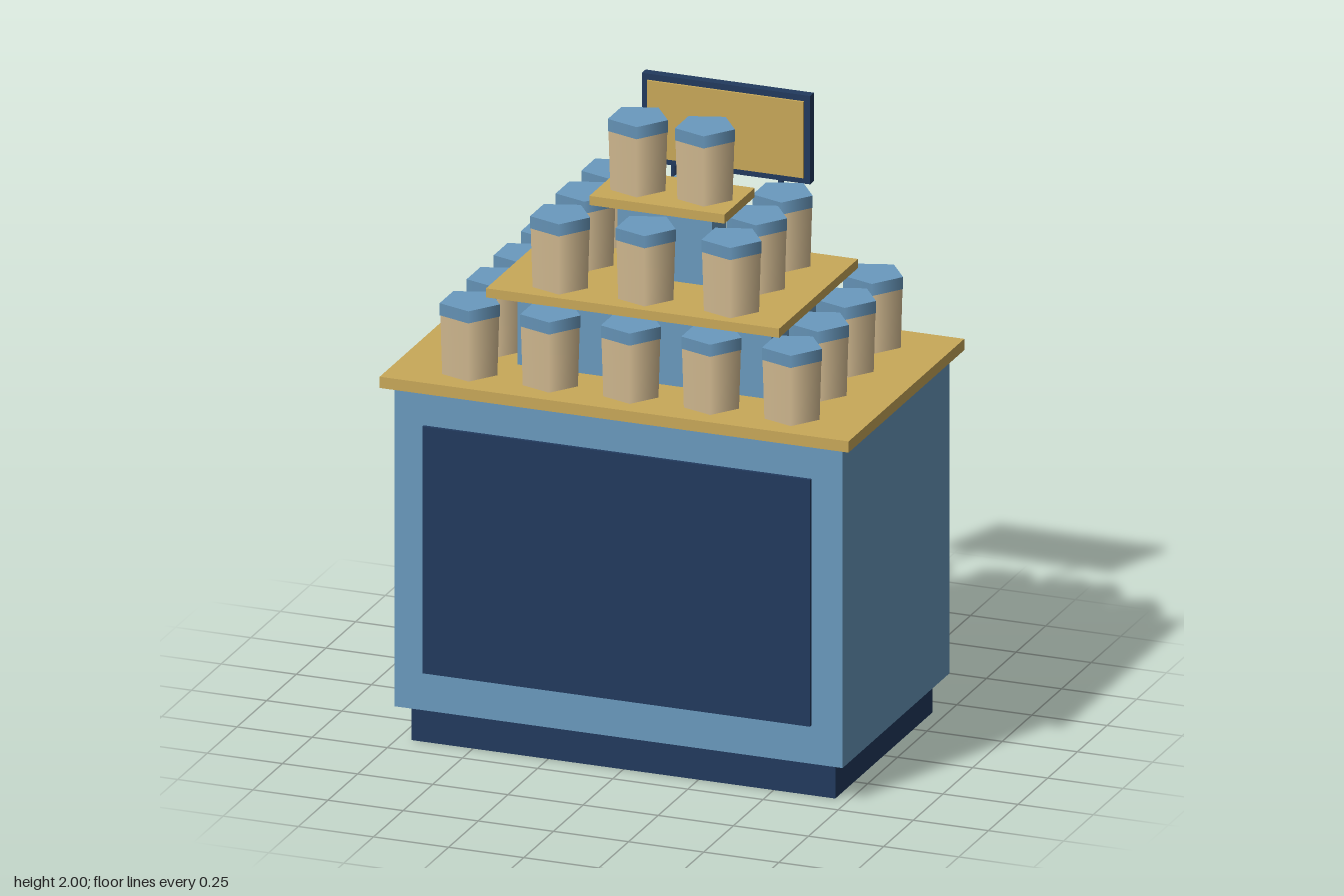
import * as THREE from 'three';

const material = (name, color) => {
  const m = new THREE.MeshStandardMaterial({ color });
  m.name = name;
  return m;
};

export function createModel() {
  const blue = material('blue paint', 0x6a9abf);
  const navy = material('navy paint', 0x223a5e);
  const gold = material('golden wood', 0xc9a959);
  const cream = material('cream jar', 0xdcc398);

  const model = new THREE.Group();
  model.name = 'displayStand';

  const add = (name, geometry, mat, x, y, z, parent = model) => {
    const mesh = new THREE.Mesh(geometry, mat);
    mesh.name = name;
    mesh.position.set(x, y, z);
    parent.add(mesh);
    return mesh;
  };
  // Box centred on x, spanning y0 to y1
  const box = (name, mat, w, d, y0, y1, z = 0) =>
    add(name, new THREE.BoxGeometry(w, y1 - y0, d), mat, 0, (y0 + y1) / 2, z);

  // Counter
  box('plinth', navy, 1.41, 0.82, 0, 0.12);
  box('cabinet', blue, 1.49, 0.9, 0.12, 1.18);
  box('frontPanel', navy, 1.29, 0.012, 0.25, 1.065, 0.465);
  box('counterTop', gold, 1.56, 0.976, 1.18, 1.217);

  // Stepped risers and shelves
  box('lowerRiser', blue, 0.845, 0.46, 1.217, 1.465);
  box('middleShelf', gold, 0.975, 0.664, 1.465, 1.495);
  box('upperRiser', blue, 0.315, 0.12, 1.495, 1.735);
  box('topShelf', gold, 0.45, 0.254, 1.735, 1.765);

  // Five-sided jars with lids, one corner pointing to +x
  const bodyGeometry = new THREE.CylinderGeometry(0.096, 0.09, 0.195, 5, 1, false, Math.PI / 2);
  const lidGeometry = new THREE.CylinderGeometry(0.098, 0.098, 0.04, 5, 1, false, Math.PI / 2);
  const addJar = (x, y, z) => {
    const jar = new THREE.Group();
    jar.name = 'jar';
    jar.position.set(x, y, z);
    add('jarBody', bodyGeometry, cream, 0, 0.0975, 0, jar);
    add('jarLid', lidGeometry, blue, 0, 0.215, 0, jar);
    model.add(jar);
  };
  // Rows of jars around the edge of a shelf
  const addRing = (columns, rows, stepX, stepZ, y) => {
    for (let i = 0; i < columns; i++) {
      for (let j = 0; j < rows; j++) {
        const inside = i > 0 && i < columns - 1 && j > 0 && j < rows - 1;
        if (!inside) addJar((i - (columns - 1) / 2) * stepX, y, (j - (rows - 1) / 2) * stepZ);
      }
    }
  };
  addRing(5, 4, 0.268, 0.228, 1.217);
  addRing(3, 3, 0.285, 0.216, 1.495);
  addRing(2, 1, 0.223, 0, 1.765);

  // Sign on two posts at the back
  const postGeometry = new THREE.CylinderGeometry(0.01, 0.01, 0.47, 8);
  for (const side of [-1, 1]) add('signPost', postGeometry, navy, side * 0.178, 1.45, -0.469);
  box('signBoard', navy, 0.56, 0.032, 1.67, 1.962, -0.471);
  box('signFace', gold, 0.52, 0.008, 1.69, 1.942, -0.451);

  return model;
}
